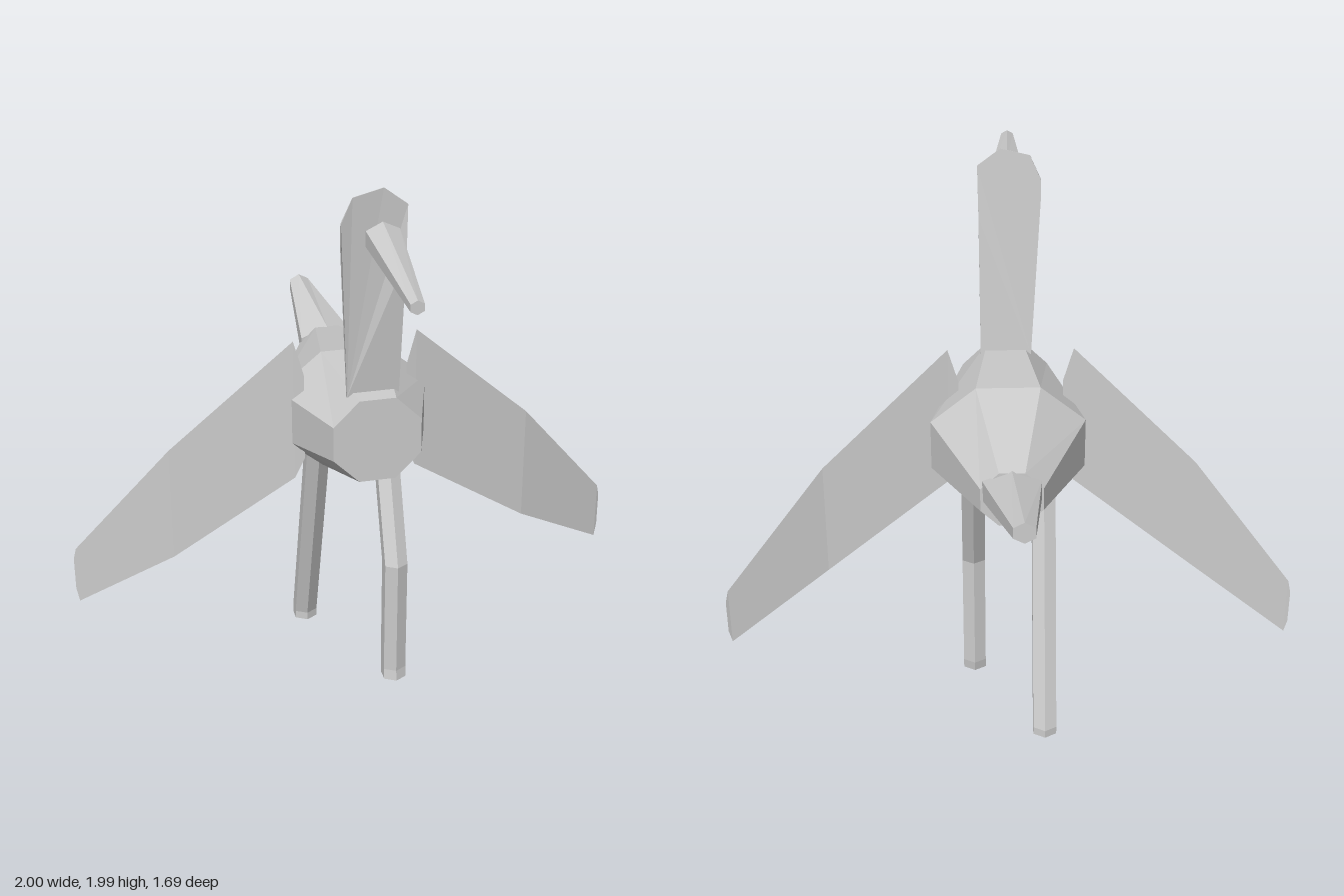
import * as THREE from 'three';

const plumage = new THREE.MeshStandardMaterial({ color: 0xcccccc, side: THREE.DoubleSide });
plumage.name = 'pale grey';

// Faceted geometry from rings of points; caps close the two ends.
function skin(rings, closed = true) {
  const pos = [];
  const tri = (...pts) => pts.forEach((p) => pos.push(...p));
  const n = rings[0].length;
  for (let k = 0; k + 1 < rings.length; k++) {
    const a = rings[k], b = rings[k + 1];
    for (let i = 0; i < (closed ? n : n - 1); i++) {
      const j = (i + 1) % n;
      tri(a[i], a[j], b[j]);
      tri(a[i], b[j], b[i]);
    }
  }
  if (closed) {
    const first = rings[0], last = rings[rings.length - 1];
    for (let i = 1; i + 1 < n; i++) {
      tri(first[0], first[i + 1], first[i]);
      tri(last[0], last[i], last[i + 1]);
    }
  }
  const g = new THREE.BufferGeometry();
  g.setAttribute('position', new THREE.Float32BufferAttribute(pos, 3));
  g.computeVertexNormals();
  return g;
}

// Ring of n corners around [x, y, z]; upright rings lie flat, for the legs.
function ring(n, [x, y, z], rx, ry, upright = false) {
  return Array.from({ length: n }, (_, i) => {
    const t = ((i + 0.5) / n) * Math.PI * 2;
    const u = (rx * Math.cos(t)) / Math.cos(Math.PI / n);
    const v = n === 8 ? (ry * Math.sin(t)) / Math.cos(Math.PI / n) : ry * Math.sin(t);
    return upright ? [x + u, y, z - v] : [x + u, y + v, z];
  });
}

export function createModel() {
  const group = new THREE.Group();
  const add = (name, geometry) => {
    const mesh = new THREE.Mesh(geometry, plumage);
    mesh.name = name;
    group.add(mesh);
  };

  // Eight-sided body, widest in the middle
  add('body', skin([
    ring(8, [0, 1.09, -0.47], 0.103, 0.1),
    ring(8, [0, 1.06, -0.07], 0.265, 0.22),
    ring(8, [0, 1.112, 0.3], 0.15, 0.15),
  ]));

  // Tapered six-sided tail and free-standing beak
  add('tail', skin([
    ring(6, [-0.025, 1.211, -0.845], 0.035, 0.038),
    ring(6, [0, 1.12, -0.46], 0.097, 0.073),
  ]));
  add('beak', skin([
    ring(6, [-0.01, 1.86, 0.385], 0.054, 0.052),
    ring(6, [-0.025, 1.822, 0.848], 0.021, 0.023),
  ]));

  // Thin leaning plate for neck and head
  const outline = [
    [-0.09, 1.25], [0.087, 1.25], [0.09, 1.75], [0.093, 1.93],
    [0.015, 1.99], [-0.085, 1.965], [-0.122, 1.88], [-0.122, 1.81],
  ];
  const frontZ = (y) => 0.238 + 0.062 * Math.min(1, (y - 1.25) / 0.5);
  const backZ = (y) => 0.227 + 0.071 * Math.min(1, (y - 1.25) / 0.7);
  add('neckAndHead', skin([
    outline.map(([x, y]) => [x, y, backZ(y)]),
    outline.map(([x, y]) => [x, y, frontZ(y)]),
  ]));

  // Sheet wings, sweeping down and back: x, z, top y, bottom y
  const wing = [
    [0.18, 0.035, 1.25, 0.93], [0.215, 0.03, 1.375, 0.855], [0.648, -0.06, 0.967, 0.54],
    [0.99, -0.187, 0.545, 0.325], [1.0, -0.193, 0.5, 0.375],
  ];
  for (const side of [1, -1]) {
    const strips = wing.map(([x, z, top, bottom]) => {
      const px = side * x - 0.012 * (1 - x) / 0.8;
      return side > 0 ? [[px, top, z], [px, bottom, z]] : [[px, bottom, z], [px, top, z]];
    });
    add(side > 0 ? 'leftWing' : 'rightWing', skin(strips, false));
  }

  // Six-sided legs caught mid-stride: y and z of each joint
  const leg = (name, x, joints) =>
    add(name, skin(joints.map(([y, z]) => ring(6, [x, y, z], 0.041, 0.047, true))));
  leg('leftLeg', 0.122, [[0, 0.078], [0.04, 0.072], [0.49, 0.08], [0.95, -0.09]]);
  leg('rightLeg', -0.122, [[0.03, -0.355], [0.06, -0.355], [0.92, -0.085]]);

  return group;
}
